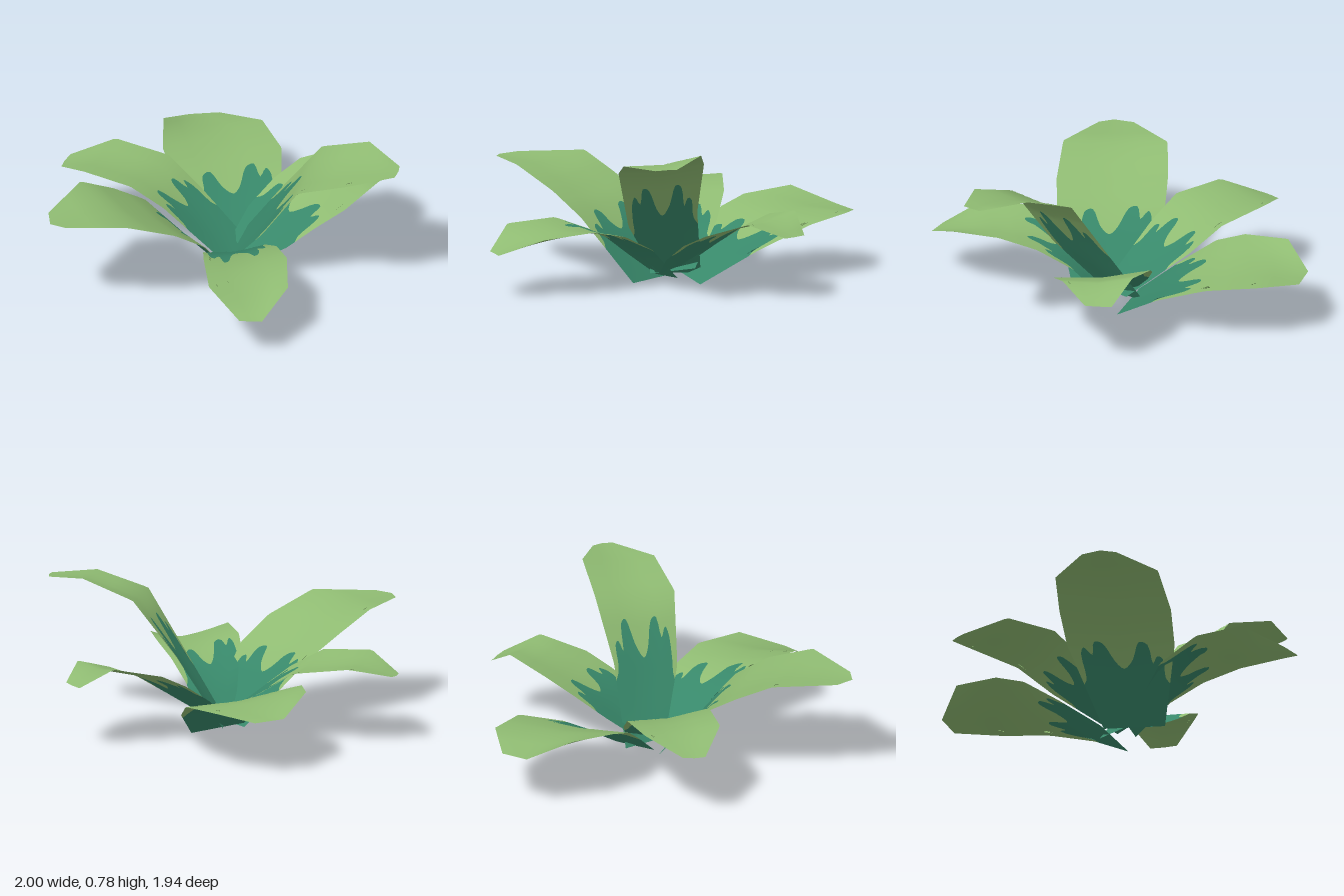
import * as THREE from 'three';

const leafGreen = new THREE.MeshStandardMaterial({ name: 'leafGreen', color: 0x8fbb72, side: THREE.DoubleSide });
const heartTeal = new THREE.MeshStandardMaterial({ name: 'heartTeal', color: 0x38886a, side: THREE.DoubleSide });

const COLS = 48, TEAL_ROWS = 16, GREEN_ROWS = 40;

// Lobed edge of the teal heart: distance along the leaf for each position across it
const lobes = new THREE.CatmullRomCurve3([
  [0, 0.24], [0.06, 0.28], [0.1, 0.38], [0.16, 0.4], [0.2, 0.36], [0.25, 0.47], [0.33, 0.49], [0.4, 0.39],
  [0.5, 0.34], [0.58, 0.38], [0.66, 0.48], [0.74, 0.49], [0.79, 0.41], [0.85, 0.45], [0.9, 0.41], [0.94, 0.28], [1, 0.24],
].map(([t, s]) => new THREE.Vector3(t, s, 0)));
const lobeSamples = lobes.getPoints(COLS);

// One leaf lofted over cross-sections, each given as its left and right edge points
function makeLeaf(name, sections, tip, tealScale) {
  const last = sections.length - 1;
  const rows = sections.map(([a, b, c, d, e, f], i) => {
    const left = new THREE.Vector3(a, b, c), right = new THREE.Vector3(d, e, f);
    const mid = left.clone().lerp(right, 0.5);
    if (i === last) mid.set(...tip);
    else if (i > 0) mid.y -= 0.02;
    return { left, mid, right };
  });
  const dist = [0];
  for (let i = 1; i <= last; i++) dist.push(dist[i - 1] + rows[i].mid.distanceTo(rows[i - 1].mid));

  // Each section folds gently at the midrib
  const across = ({ left, mid, right }, t) => (t < 0.5
    ? left.clone().lerp(mid, 2 * t)
    : mid.clone().lerp(right, 2 * t - 1));
  const pointAt = (s, t) => {
    const d = s * dist[last];
    let i = 1;
    while (i < last && dist[i] < d) i++;
    const k = (d - dist[i - 1]) / (dist[i] - dist[i - 1]);
    return across(rows[i - 1], t).lerp(across(rows[i], t), k);
  };
  // Wide differences give soft shading over the folds
  const normalAt = (s, t) => {
    const along = pointAt(Math.min(s + 0.12, 1), t).sub(pointAt(Math.max(s - 0.12, 0), t));
    const q = Math.min(s, 0.95);
    const side = pointAt(q, Math.min(t + 0.25, 1)).sub(pointAt(q, Math.max(t - 0.25, 0)));
    return side.cross(along).normalize();
  };

  const pos = [], normals = [], index = [], n = TEAL_ROWS + GREEN_ROWS, w = COLS + 1;
  for (let r = 0; r <= n; r++) {
    for (let c = 0; c <= COLS; c++) {
      const t = lobeSamples[c].x, edge = lobeSamples[c].y * tealScale;
      const s = r <= TEAL_ROWS ? edge * r / TEAL_ROWS : edge + (1 - edge) * (r - TEAL_ROWS) / GREEN_ROWS;
      pos.push(...pointAt(s, t).toArray());
      normals.push(...normalAt(s, t).toArray());
    }
  }
  for (let r = 0; r < n; r++) {
    for (let c = 0; c < COLS; c++) {
      const i = r * w + c;
      index.push(i, i + 1, i + w, i + 1, i + w + 1, i + w);
    }
  }
  const geo = new THREE.BufferGeometry();
  geo.setAttribute('position', new THREE.Float32BufferAttribute(pos, 3));
  geo.setAttribute('normal', new THREE.Float32BufferAttribute(normals, 3));
  geo.setIndex(index);
  geo.addGroup(0, TEAL_ROWS * COLS * 6, 0);
  geo.addGroup(TEAL_ROWS * COLS * 6, GREEN_ROWS * COLS * 6, 1);
  const mesh = new THREE.Mesh(geo, [heartTeal, leafGreen]);
  mesh.name = name;
  return mesh;
}

export function createModel() {
  const group = new THREE.Group();
  group.name = 'sixLeafRosette';
  group.add(
    // Broad leaf to the -x side
    makeLeaf('rightLeaf', [
      [0.03, 0.01, 0.24, 0.03, 0.01, -0.08],
      [-0.25, 0.34, 0.32, -0.27, 0.36, -0.24],
      [-0.43, 0.46, 0.32, -0.45, 0.47, -0.26],
      [-0.69, 0.565, 0.28, -0.65, 0.57, -0.26],
      [-0.96, 0.555, 0.09, -0.95, 0.555, -0.09],
    ], [-1, 0.55, 0.01], 0.77),
    // Arched leaf to the +x side
    makeLeaf('leftLeaf', [
      [0.16, 0.09, -0.08, 0.14, 0.06, 0.16],
      [0.3, 0.2, -0.14, 0.27, 0.16, 0.28],
      [0.47, 0.31, -0.16, 0.42, 0.26, 0.33],
      [0.62, 0.385, -0.15, 0.58, 0.33, 0.355],
      [0.86, 0.44, -0.05, 0.82, 0.41, 0.31],
      [1, 0.34, 0.06, 0.98, 0.34, 0.2],
    ], [0.995, 0.34, 0.13], 0.97),
    // Low, wide leaf at the back
    makeLeaf('backLeftLeaf', [
      [0.05, 0.04, -0.1, 0.3, 0, 0.02],
      [0.06, 0.2, -0.32, 0.52, 0.17, -0.18],
      [0.05, 0.31, -0.5, 0.68, 0.29, -0.43],
      [0.09, 0.36, -0.65, 0.72, 0.32, -0.69],
      [0.23, 0.39, -0.87, 0.6, 0.29, -0.92],
    ], [0.45, 0.3, -0.97], 0.95),
    // Drooping leaf at the back
    makeLeaf('backRightLeaf', [
      [0.03, 0.04, 0.09, 0.23, 0.07, -0.03],
      [-0.2, 0.32, -0.17, 0.13, 0.27, -0.36],
      [-0.32, 0.42, -0.3, 0.05, 0.39, -0.53],
      [-0.46, 0.44, -0.53, -0.13, 0.43, -0.76],
      [-0.46, 0.36, -0.76, -0.36, 0.37, -0.83],
    ], [-0.415, 0.363, -0.8], 0.95),
    // Drooping leaf at the front
    makeLeaf('frontRightLeaf', [
      [0.19, 0.03, 0.07, 0.03, 0.03, 0.04],
      [0.16, 0.2, 0.25, -0.21, 0.26, 0.24],
      [0.12, 0.29, 0.43, -0.33, 0.35, 0.44],
      [0.06, 0.335, 0.63, -0.45, 0.34, 0.69],
      [-0.08, 0.315, 0.87, -0.4, 0.23, 0.91],
    ], [-0.3, 0.225, 0.97], 1.05),
    // Tall, upright leaf at the front
    makeLeaf('frontLeftLeaf', [
      [0.2, 0.035, -0.12, 0.05, 0.04, 0.07],
      [0.34, 0.4, 0.1, 0.08, 0.33, 0.35],
      [0.5, 0.69, 0.26, 0.17, 0.65, 0.56],
      [0.65, 0.785, 0.49, 0.35, 0.735, 0.76],
      [0.68, 0.75, 0.74, 0.6, 0.745, 0.82],
    ], [0.645, 0.75, 0.785], 1.05),
  );
  return group;
}
